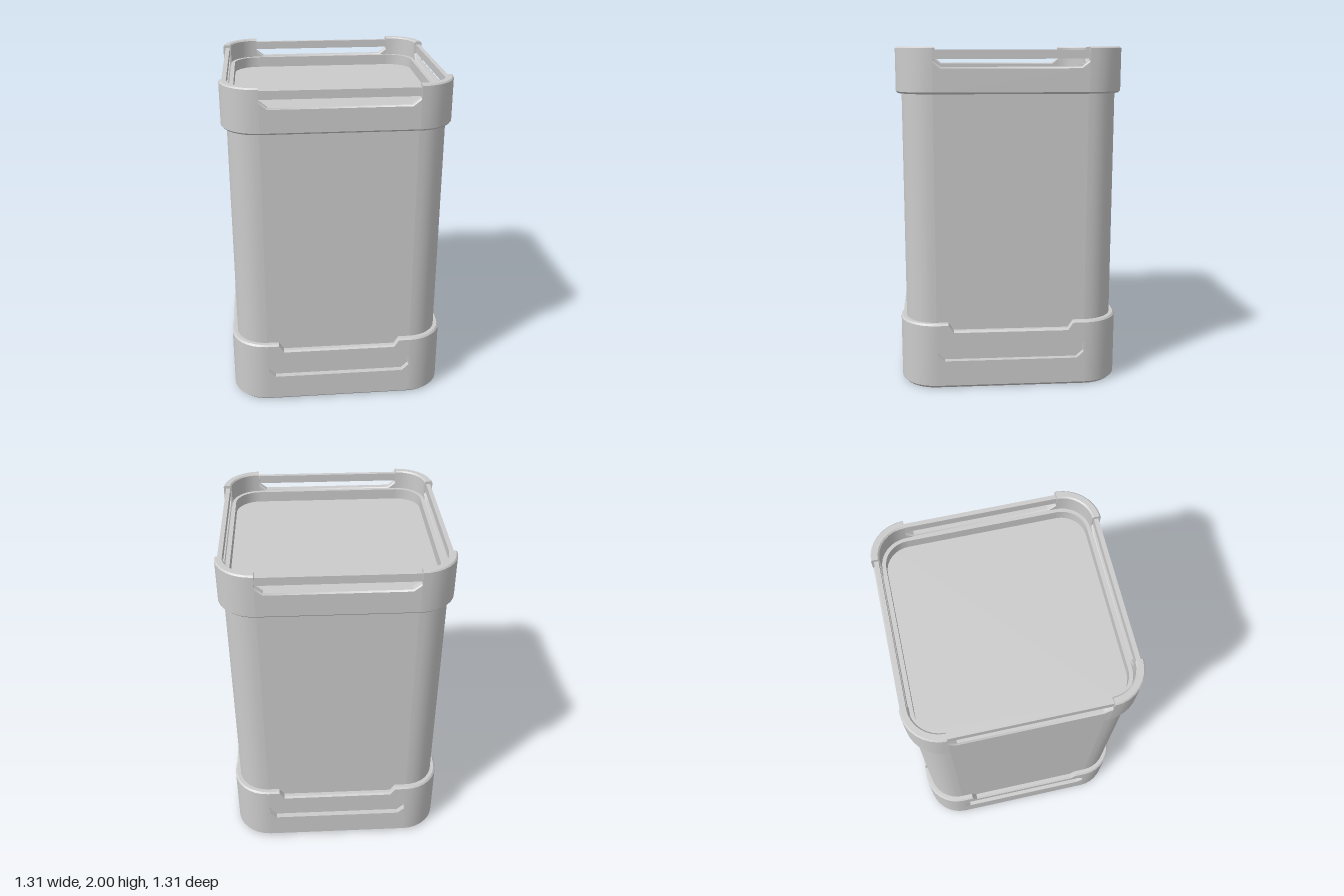
import * as THREE from 'three';
import { toCreasedNormals } from 'three/addons/utils/BufferGeometryUtils.js';

const C = 0.44; // centre of the corner arcs
const material = new THREE.MeshStandardMaterial({ color: 0xcccccc });

// Sweep a bevelled wall section along stations {x, z, a, bot, top}
function sweep(stations, { outer, inner, bevelBottom = 0, bevelTop = 0 }) {
  const section = (bot, top) => {
    const p = [];
    if (bevelBottom) p.push([outer - bevelBottom, bot]);
    p.push([outer, bot + bevelBottom], [outer, top - bevelTop]);
    if (bevelTop) p.push([outer - bevelTop, top], [inner + bevelTop, top]);
    p.push([inner, top - bevelTop], [inner, bot + bevelBottom]);
    if (bevelBottom) p.push([inner + bevelBottom, bot]);
    return p;
  };
  const positions = [], index = [];
  let n = 0;
  for (const s of stations) {
    const pts = section(s.bot, s.top);
    n = pts.length;
    for (const [r, y] of pts) {
      positions.push(s.x + Math.sin(s.a) * (r - C), y, s.z + Math.cos(s.a) * (r - C));
    }
  }
  const last = (stations.length - 1) * n;
  for (let s = 0; s < last; s += n) {
    for (let j = 0; j < n; j++) {
      const k = (j + 1) % n;
      index.push(s + j, s + n + j, s + n + k, s + j, s + n + k, s + k);
    }
  }
  for (let j = 1; j < n - 1; j++) {
    index.push(0, j, j + 1, last, last + j + 1, last + j);
  }
  const g = new THREE.BufferGeometry();
  g.setAttribute('position', new THREE.Float32BufferAttribute(positions, 3));
  g.setIndex(index);
  return toCreasedNormals(g, 0.6);
}

// Straight strip on one side, mirrored from [x, bottom, top] of its +x half
function sideStrip(half, opts) {
  const at = (x, bot, top) => ({ x, z: C, a: 0, bot, top });
  const right = half.map(([x, b, t]) => at(x, b, t));
  const left = half.map(([x, b, t]) => at(-x, b, t)).reverse();
  return sweep([...left, ...right], opts);
}

// Rounded corner beginning at distance "start" along each neighbouring side
function corner(start, bot, top, opts) {
  const stations = [];
  if (start < C) stations.push({ x: start, z: C, a: 0, bot, top });
  for (let i = 0; i <= 8; i++) stations.push({ x: C, z: C, a: (i / 8) * Math.PI / 2, bot, top });
  if (start < C) stations.push({ x: C, z: start, a: Math.PI / 2, bot, top });
  return sweep(stations, opts);
}

// Repeat a set of pieces on all four sides
function fourfold(name, geometries) {
  const group = new THREE.Group();
  group.name = name;
  for (let k = 0; k < 4; k++) {
    for (const [part, g] of Object.entries(geometries)) {
      const mesh = new THREE.Mesh(g, material);
      mesh.name = part;
      mesh.rotation.y = k * Math.PI / 2;
      group.add(mesh);
    }
  }
  return group;
}

function plainRing(name, bot, top, opts) {
  return fourfold(name, {
    [name + 'Corner']: corner(C, bot, top, opts),
    [name + 'Side']: sideStrip([[C, bot, top]], opts),
  });
}

export function createModel() {
  const model = new THREE.Group();
  model.name = 'container';

  // Thin body wall, open at the bottom
  model.add(plainRing('body', 0.02, 1.82, { outer: 0.622, inner: 0.612 }));

  // Base band: notched top edge and a long slot on each side
  const base = { outer: 0.655, inner: 0.59 };
  model.add(fourfold('baseBand', {
    baseCorner: corner(0.435, 0, 0.4, { ...base, bevelBottom: 0.016, bevelTop: 0.01 }),
    baseLowerStrip: sideStrip([[0.395, 0, 0.17], [0.435, 0, 0.21]], { ...base, bevelBottom: 0.016 }),
    baseUpperStrip: sideStrip(
      [[0.34, 0.3, 0.355], [0.37, 0.3, 0.4], [0.395, 0.3, 0.4], [0.435, 0.26, 0.4]],
      { ...base, bevelTop: 0.01 }),
  }));

  // Top band: raised corners with wide notches between them
  const rim = { outer: 0.655, inner: 0.607, bevelBottom: 0.01, bevelTop: 0.008 };
  model.add(fourfold('topBand', {
    topCorner: corner(C, 1.74, 2, rim),
    topSide: sideStrip([[0.395, 1.74, 1.89], [C, 1.74, 1.925]], rim),
  }));

  // Rails bridging the notches
  const rail = new THREE.BoxGeometry(2 * C + 0.01, 0.048, 0.026).translate(0, 1.958, 0.628);
  model.add(fourfold('rails', { rail }));

  // Inner lip around the recessed lid
  model.add(plainRing('lip', 1.8, 1.885, { outer: 0.615, inner: 0.585 }));

  // Recessed lid panel
  const r = 0.6 - C;
  const shape = new THREE.Shape();
  for (let k = 0; k < 4; k++) {
    const a = k * Math.PI / 2;
    const sx = k === 0 || k === 3 ? 1 : -1, sy = k < 2 ? 1 : -1;
    shape.absarc(sx * C, sy * C, r, a, a + Math.PI / 2, false);
  }
  const lid = new THREE.Mesh(
    new THREE.ExtrudeGeometry(shape, { depth: 0.02, bevelEnabled: false, curveSegments: 8 })
      .rotateX(-Math.PI / 2).translate(0, 1.8, 0), material);
  lid.name = 'lid';
  model.add(lid);

  return model;
}
